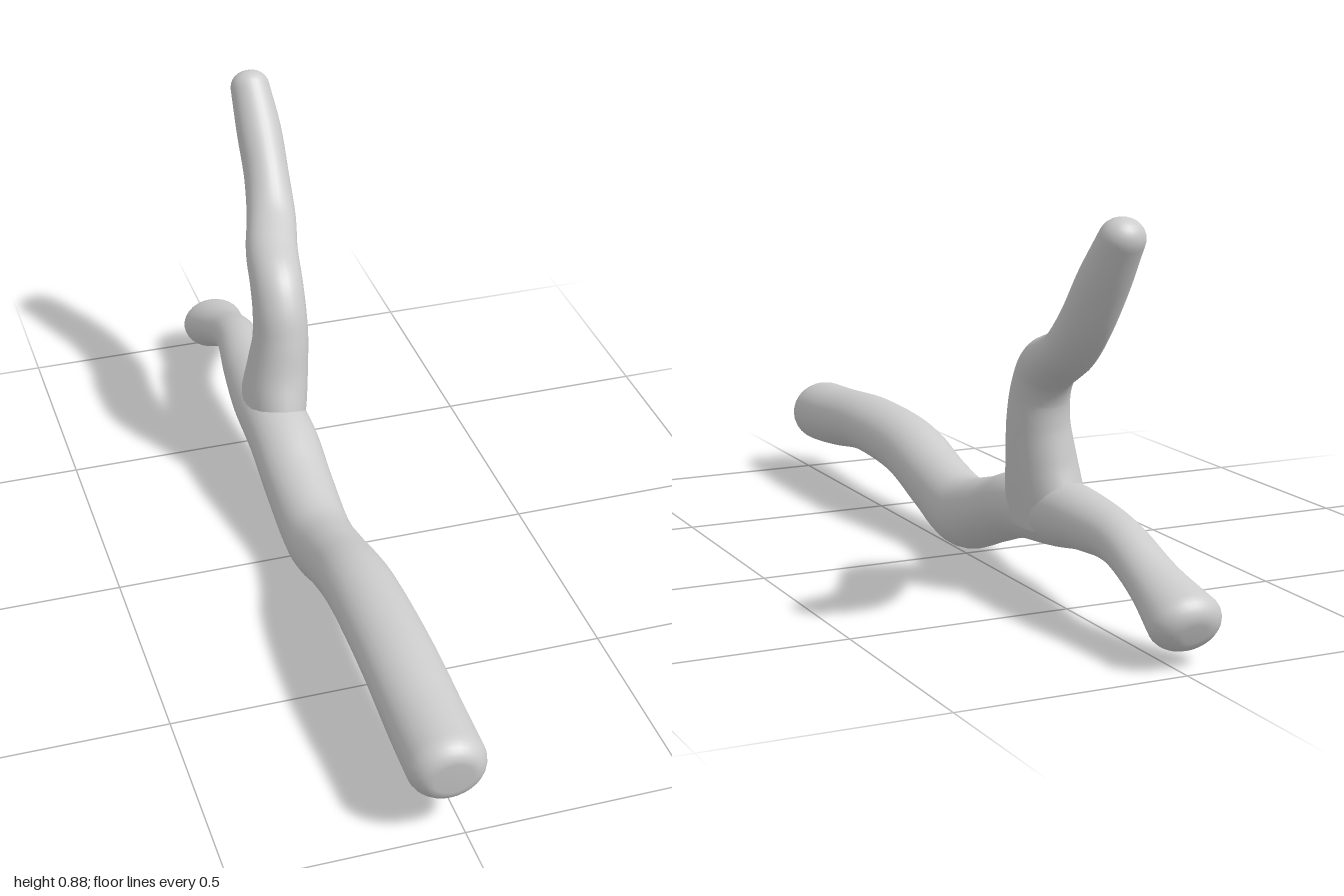
import * as THREE from 'three';

const material = new THREE.MeshStandardMaterial({ color: 0xcccccc, roughness: 0.9 });
const SIDES = 28;

// Smooth tube with an oval section that varies along its path.
// Stations: [x, y, z, half width across x, half thickness]
// Caps: [length, fraction of the radius that is rounded off]
function limb(name, stations, startCap, endCap, steps) {
  const path = new THREE.CatmullRomCurve3(stations.map(s => new THREE.Vector3(s[0], s[1], s[2])));
  const radii = new THREE.CatmullRomCurve3(stations.map(s => new THREE.Vector3(s[3], s[4], 0)), false, 'catmullrom', 0.5);
  const positions = [], indices = [];
  let rings = 0;

  const addRing = (t, offset, scale) => {
    const tangent = path.getTangent(t);
    const centre = path.getPoint(t).addScaledVector(tangent, offset);
    const r = radii.getPoint(t);
    const side = new THREE.Vector3(1, 0, 0).addScaledVector(tangent, -tangent.x).normalize();
    const up = new THREE.Vector3().crossVectors(tangent, side);
    for (let i = 0; i < SIDES; i++) {
      const a = (i / SIDES) * Math.PI * 2;
      const p = centre.clone()
        .addScaledVector(side, Math.cos(a) * r.x * scale)
        .addScaledVector(up, Math.sin(a) * r.y * scale);
      positions.push(p.x, p.y, p.z);
    }
    rings++;
  };
  const addCap = (t, sign, [length, round]) => {
    const n = 7;
    for (let k = 1; k <= n; k++) {
      const j = sign < 0 ? n + 1 - k : k;
      const a = (j / n) * Math.PI / 2;
      addRing(t, sign * length * Math.sin(a), 1 - round * (1 - Math.cos(a)));
    }
  };

  addCap(0, -1, startCap);
  for (let i = 0; i <= steps; i++) addRing(i / steps, 0, 1);
  addCap(1, 1, endCap);

  for (let r = 0; r < rings - 1; r++) {
    for (let i = 0; i < SIDES; i++) {
      const a = r * SIDES + i, b = r * SIDES + (i + 1) % SIDES;
      indices.push(a, b, a + SIDES, b, b + SIDES, a + SIDES);
    }
  }
  // Close both ends with a centre point
  [0, rings - 1].forEach((ring, end) => {
    const pole = positions.length / 3, first = ring * SIDES;
    const mid = new THREE.Vector3();
    for (let i = 0; i < SIDES; i++) mid.add(new THREE.Vector3().fromArray(positions, (first + i) * 3));
    mid.divideScalar(SIDES);
    positions.push(mid.x, mid.y, mid.z);
    for (let i = 0; i < SIDES; i++) {
      const a = first + i, b = first + (i + 1) % SIDES;
      if (end) indices.push(a, b, pole);
      else indices.push(b, a, pole);
    }
  });

  const geometry = new THREE.BufferGeometry();
  geometry.setAttribute('position', new THREE.Float32BufferAttribute(positions, 3));
  geometry.setIndex(indices);
  geometry.computeVertexNormals();
  const mesh = new THREE.Mesh(geometry, material);
  mesh.name = name;
  return mesh;
}

export function createModel() {
  const group = new THREE.Group();
  group.name = 'forkedBranch';

  // Long wavy stem lying on the ground, front to back
  group.add(limb('mainStem', [
    [-0.03, 0.163, 0.95, 0.086, 0.078],
    [-0.03, 0.17, 0.84, 0.086, 0.076],
    [-0.03, 0.19, 0.62, 0.084, 0.07],
    [-0.028, 0.173, 0.36, 0.08, 0.073],
    [-0.026, 0.125, 0.2, 0.077, 0.077],
    [-0.028, 0.09, 0.06, 0.08, 0.085],
    [-0.03, 0.13, -0.1, 0.082, 0.076],
    [-0.03, 0.175, -0.24, 0.083, 0.076],
    [-0.034, 0.192, -0.4, 0.078, 0.075],
    [-0.03, 0.201, -0.55, 0.068, 0.06],
    [-0.022, 0.195, -0.7, 0.055, 0.05],
    [-0.022, 0.147, -0.83, 0.06, 0.049],
    [-0.025, 0.098, -0.942, 0.08, 0.064],
  ], [0.05, 0.5], [0.045, 0.65], 90));

  // Crooked twig rising from the stem, flared at its root
  group.add(limb('sideBranch', [
    [-0.028, 0.17, -0.35, 0.075, 0.13],
    [-0.02, 0.24, -0.352, 0.077, 0.113],
    [-0.01, 0.31, -0.356, 0.074, 0.089],
    [0, 0.39, -0.362, 0.068, 0.073],
    [0.003, 0.46, -0.378, 0.065, 0.066],
    [0.007, 0.515, -0.417, 0.064, 0.063],
    [0.02, 0.551, -0.5, 0.064, 0.056],
    [0.047, 0.59, -0.6, 0.061, 0.053],
    [0.061, 0.66, -0.69, 0.056, 0.055],
    [0.063, 0.75, -0.762, 0.056, 0.051],
    [0.059, 0.84, -0.825, 0.049, 0.043],
  ], [0.02, 0.5], [0.042, 0.9], 70));

  return group;
}
